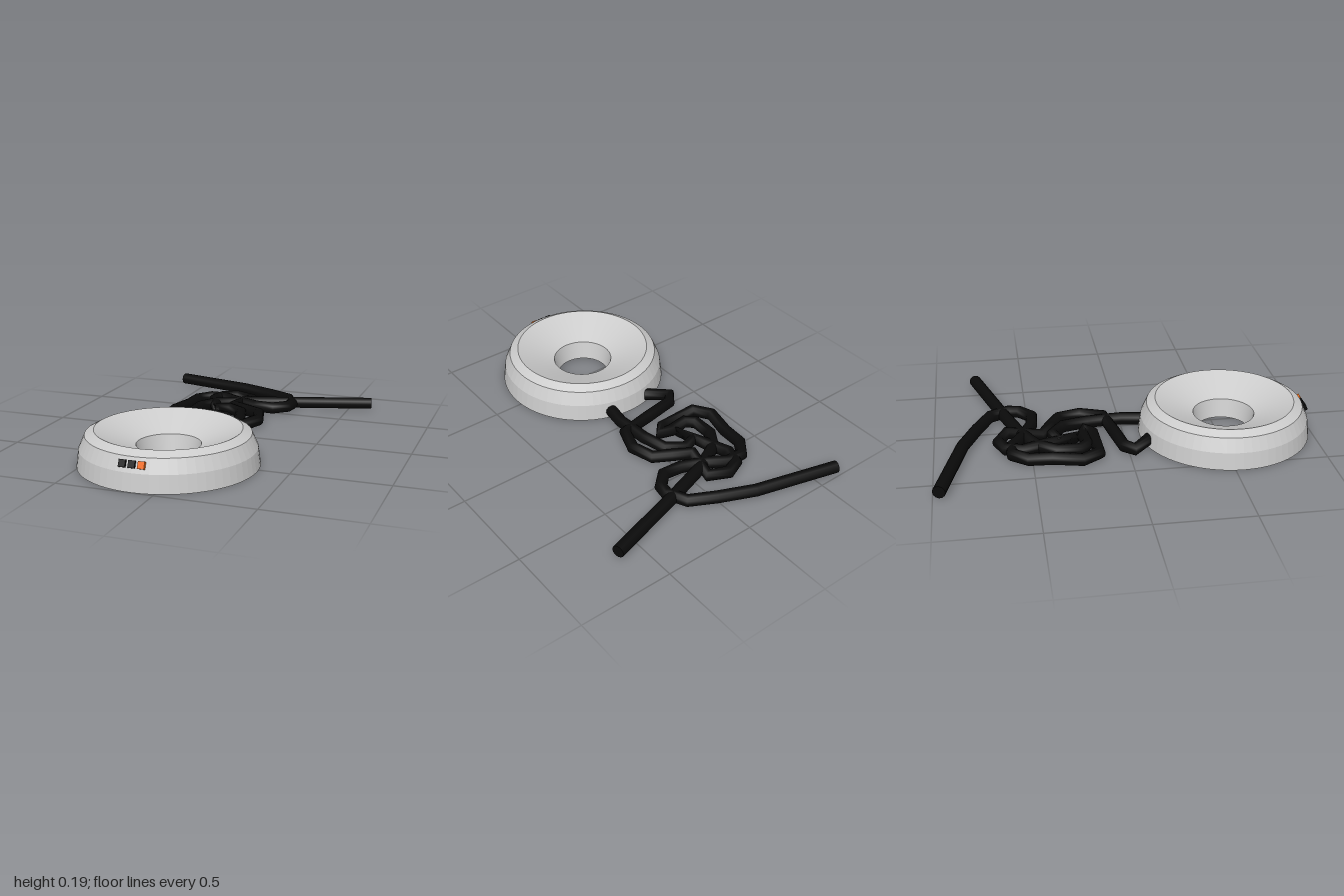
import * as THREE from 'three';

const grey = new THREE.MeshStandardMaterial({ color: 0xcccccc });
const greyFlat = new THREE.MeshStandardMaterial({ color: 0xcccccc, flatShading: true });
const black = new THREE.MeshStandardMaterial({ color: 0x0a0a0a });
const orange = new THREE.MeshStandardMaterial({ color: 0xf26a10 });

const CORD_RADIUS = 0.033;
const CORD_Y = 0.036;

// Angular path through flat [x, z] points, sampled exactly at its corners
class CornerPath extends THREE.Curve {
  constructor(points) {
    super();
    this.points = points.map(([x, z]) => new THREE.Vector3(x, CORD_Y, z));
  }
  getPointAt(u, target = new THREE.Vector3()) {
    const last = this.points.length - 1;
    return target.copy(this.points[Math.round(u * last)]);
  }
  getTangentAt(u, target = new THREE.Vector3()) {
    const p = this.points, last = p.length - 1, i = Math.round(u * last);
    const before = p[Math.max(i, 1)].clone().sub(p[Math.max(i, 1) - 1]).normalize();
    const j = Math.min(i, last - 1);
    const after = p[j + 1].clone().sub(p[j]).normalize();
    return target.copy(before.add(after).normalize());
  }
}

function makeCord(name, points) {
  const path = new CornerPath(points);
  const cord = new THREE.Group();
  cord.name = name;
  cord.add(new THREE.Mesh(new THREE.TubeGeometry(path, points.length - 1, CORD_RADIUS, 12), black));
  // Round end caps
  for (const u of [0, 1]) {
    const cap = new THREE.Mesh(new THREE.CircleGeometry(CORD_RADIUS, 12), black);
    const outward = path.getTangentAt(u).multiplyScalar(u ? 1 : -1);
    cap.position.copy(path.getPointAt(u));
    cap.quaternion.setFromUnitVectors(new THREE.Vector3(0, 0, 1), outward);
    cap.name = name + 'End';
    cord.add(cap);
  }
  return cord;
}

export function createModel() {
  const model = new THREE.Group();
  model.name = 'ringWithCord';

  // Dished ring, one band per surface so the edges between them stay sharp
  const ring = new THREE.Group();
  ring.name = 'ringBody';
  ring.position.set(-0.113, 0, 0.54);
  const bands = [
    ['outerWall', greyFlat, [[0.457, 0], [0.445, 0.09], [0.414, 0.16]]],
    ['rimBevel', grey, [[0.414, 0.16], [0.368, 0.185]]],
    ['bowl', grey, [[0.368, 0.185], [0.163, 0.1]]],
    ['holeWall', grey, [[0.163, 0.1], [0.14, 0]]],
    ['base', grey, [[0.14, 0], [0.457, 0]]],
  ];
  for (const [name, material, profile] of bands) {
    const points = profile.map(([r, y]) => new THREE.Vector2(r, y));
    const band = new THREE.Mesh(new THREE.LatheGeometry(points, 64), material);
    band.name = name;
    ring.add(band);
  }

  // Row of small square buttons on the sloping front
  [black, black, orange].forEach((material, i) => {
    const button = new THREE.Mesh(new THREE.BoxGeometry(0.034, 0.036, 0.02), material);
    button.name = 'button' + (i + 1);
    button.position.set(-0.049 + i * 0.048, 0.128, 0.43);
    button.rotation.x = -0.42;
    ring.add(button);
  });
  model.add(ring);

  // Tangled cord: a loop fixed to the ring at both ends
  model.add(makeCord('ringCord', [
    [0.0, 0.13], [0.02, 0.0], [0.005, -0.185], [-0.03, -0.32], [-0.115, -0.38],
    [-0.195, -0.35], [-0.165, -0.26], [-0.22, -0.42], [-0.27, -0.545], [-0.245, -0.63],
    [-0.165, -0.665], [-0.065, -0.62], [-0.115, -0.44], [-0.02, -0.385], [0.07, -0.335],
    [0.105, -0.215], [0.06, -0.09], [-0.125, -0.055], [-0.295, -0.025], [-0.34, 0.025],
    [-0.235, 0.115],
  ]));
  // ...and a second length with two loose ends
  model.add(makeCord('looseCord', [
    [-0.63, -0.968], [-0.18, -0.85], [0.005, -0.77], [0.14, -0.7], [0.19, -0.6],
    [0.18, -0.54], [0.11, -0.475], [0.005, -0.485], [-0.125, -0.54], [-0.22, -0.6],
    [-0.31, -0.6], [-0.37, -0.52], [-0.375, -0.4], [-0.41, -0.25], [-0.35, -0.16],
    [-0.13, -0.17], [-0.08, -0.21], [-0.15, -0.225], [-0.25, -0.21], [-0.295, -0.25],
    [-0.295, -0.37], [-0.235, -0.465], [-0.075, -0.55], [0.18, -0.635], [0.625, -0.77],
  ]));
  return model;
}
